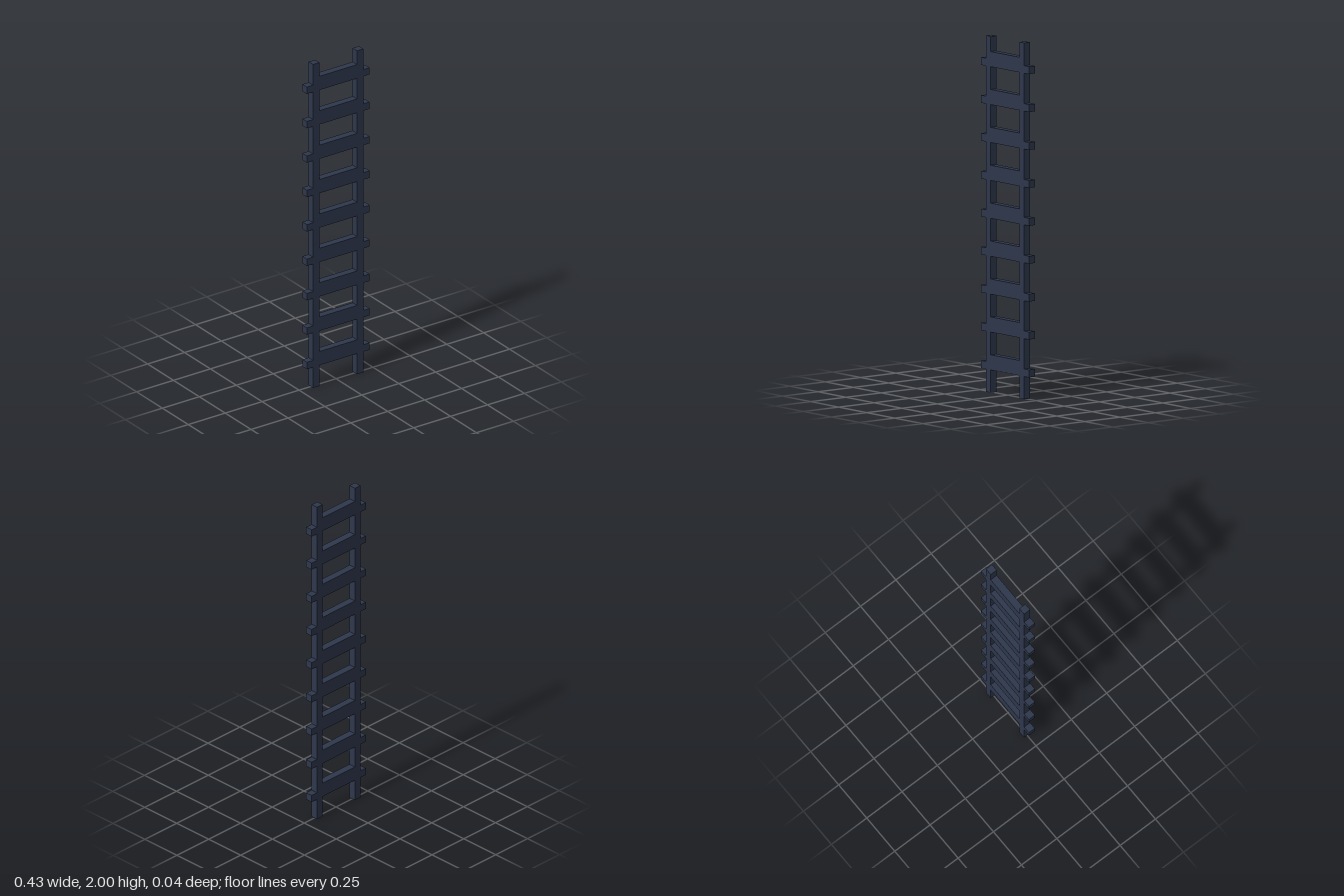
import * as THREE from 'three';

// The ladder sits on a grid of 47 square units in height
const U = 2 / 47;

export function createModel() {
  const ladder = new THREE.Group();
  ladder.name = 'ladder';
  const navy = new THREE.MeshStandardMaterial({ color: 0x2e374c });
  navy.name = 'navy';

  // Box given by centre x, bottom y, width and height in grid units
  const block = (name, parent, x, y, w, h) => {
    const mesh = new THREE.Mesh(new THREE.BoxGeometry(w * U, h * U, U), navy);
    mesh.name = name;
    mesh.position.set(x * U, (y + h / 2) * U, 0);
    parent.add(mesh);
  };

  // Upright rails
  block('leftRail', ladder, 3.5, 0, 1, 47);
  block('rightRail', ladder, -3.5, 0, 1, 47);

  // Rungs: a tall board between the rails and a short peg outside each rail
  for (let i = 0; i < 9; i++) {
    const rung = new THREE.Group();
    rung.name = `rung${i + 1}`;
    const y = 3 + i * 5;
    block('rungBoard', rung, 0, y, 6, 2);
    block('leftPeg', rung, 4.5, y, 1, 1);
    block('rightPeg', rung, -4.5, y, 1, 1);
    ladder.add(rung);
  }
  return ladder;
}
